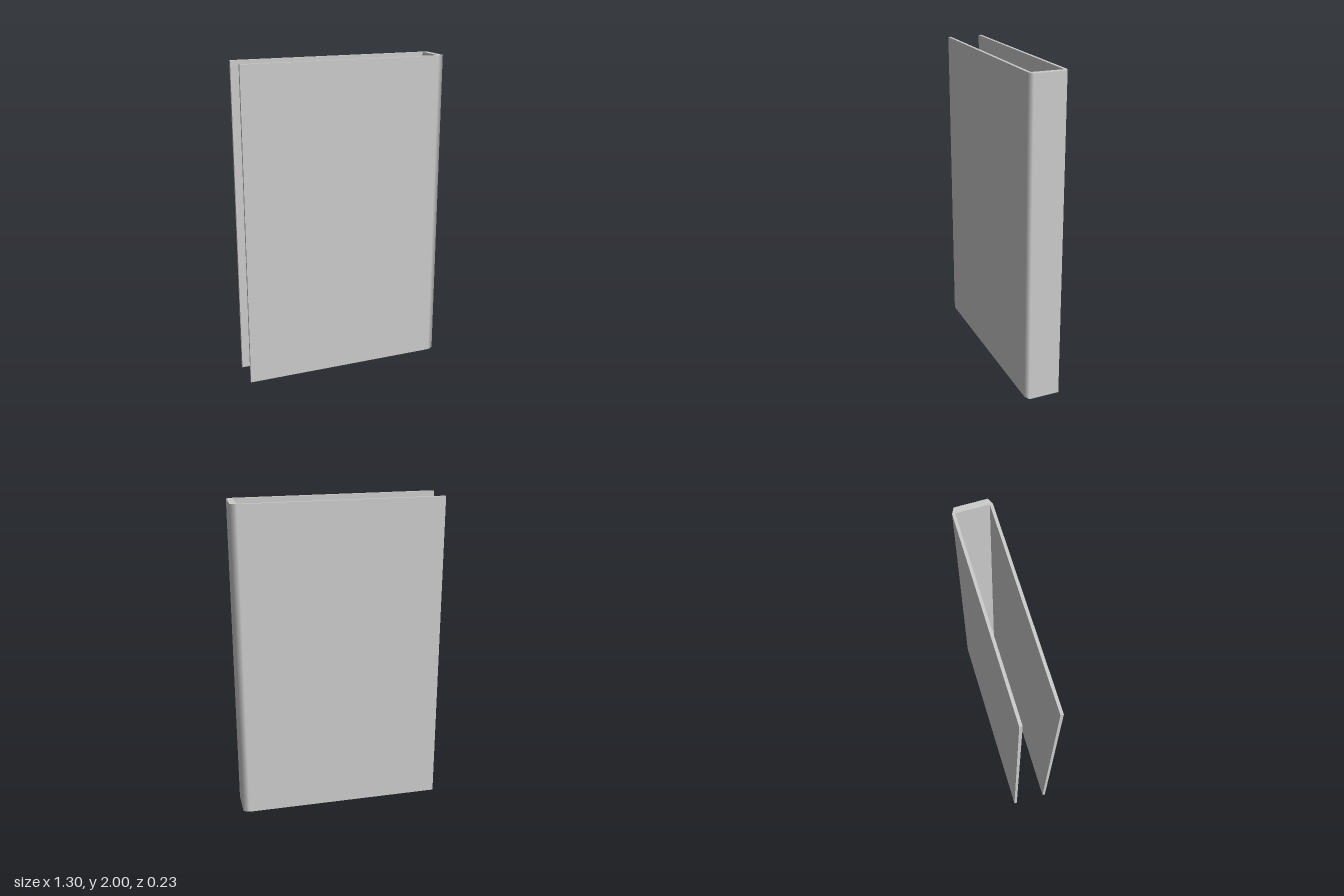
import * as THREE from 'three';

const HEIGHT = 2;
const OPEN_X = -0.648, BEND_X = 0.61, SPINE_X = 0.648; // open edge, start of the bend, spine face
const OUTER_Z = 0.116, INNER_Z = 0.098;                // outside and inside of the boards

// U-shaped cross-section: two boards joined by a spine with chamfered corners
function coverProfile() {
  const half = [[OPEN_X, INNER_Z], [OPEN_X, OUTER_Z], [BEND_X, OUTER_Z], [SPINE_X, INNER_Z]];
  const points = [
    [BEND_X, INNER_Z],
    ...half,
    ...half.map(([x, z]) => [x, -z]).reverse(),
    [BEND_X, -INNER_Z],
  ];
  return new THREE.Shape(points.map(([x, z]) => new THREE.Vector2(x, z)));
}

// Blend the chamfers from the board's normal to the spine's, leaving the large faces flat
function roundChamfers(geometry) {
  const { position, normal } = geometry.attributes;
  for (let i = 0; i < normal.count; i++) {
    const nx = normal.getX(i), nz = normal.getZ(i);
    if (Math.abs(nx) < 0.1 || Math.abs(nz) < 0.1) continue;
    if (position.getX(i) > SPINE_X - 0.01) normal.setXYZ(i, 1, 0, 0);
    else normal.setXYZ(i, 0, 0, Math.sign(nz));
  }
}

export function createModel() {
  const group = new THREE.Group();
  group.name = 'bookCover';

  const geometry = new THREE.ExtrudeGeometry(coverProfile(), { depth: HEIGHT, bevelEnabled: false });
  geometry.rotateX(-Math.PI / 2); // stand the extrusion upright
  roundChamfers(geometry);

  const cover = new THREE.Mesh(geometry, new THREE.MeshStandardMaterial({ color: 0xcccccc }));
  cover.name = 'boardsAndSpine';
  group.add(cover);
  return group;
}
